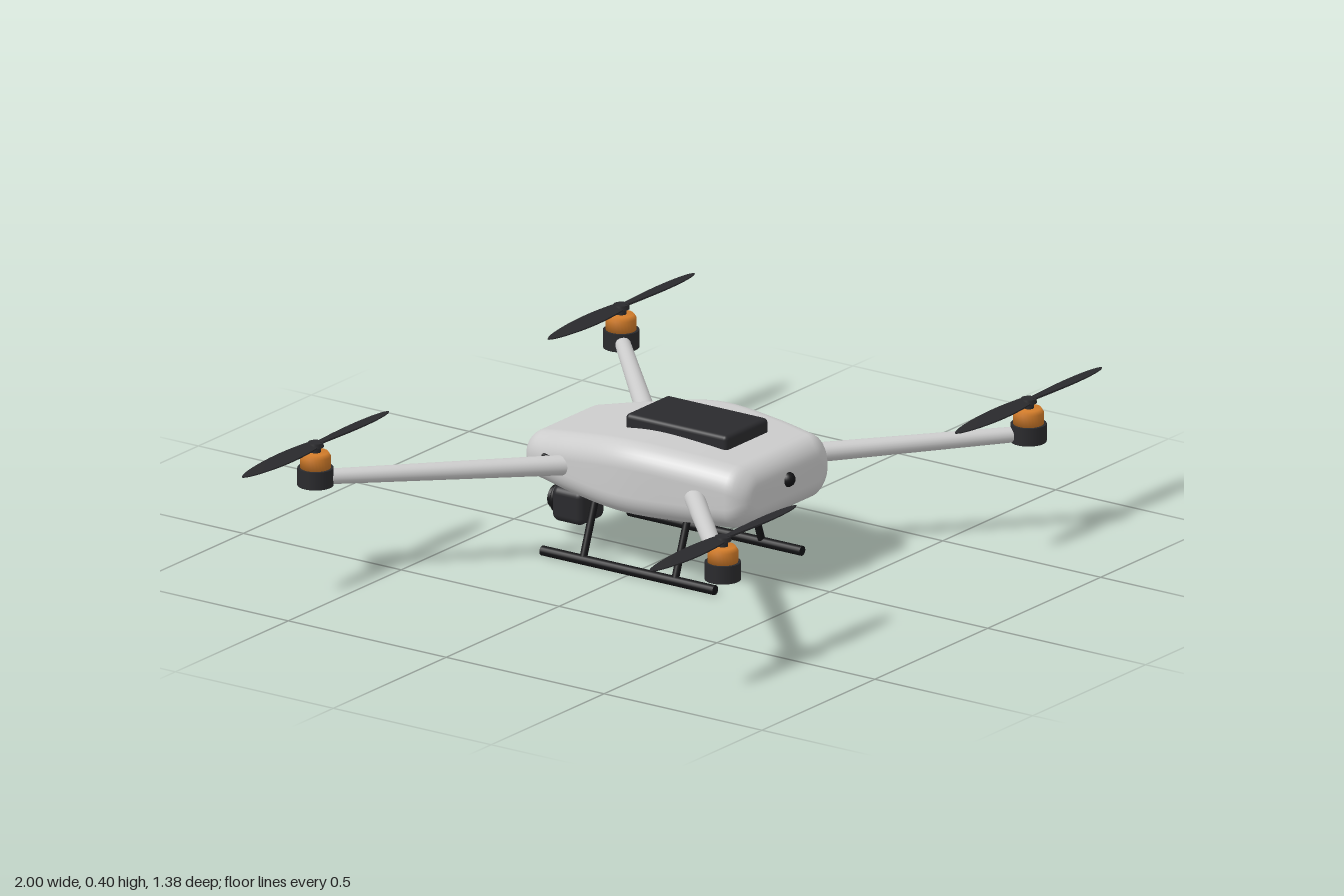
import * as THREE from 'three';
import { RoundedBoxGeometry } from 'three/addons/geometries/RoundedBoxGeometry.js';

const mat = (color) => new THREE.MeshStandardMaterial({ color });
const GREY = mat(0xcccccc), DARK = mat(0x2a2a2d), BLACK = mat(0x141416);
const ORANGE = mat(0xd27c2a), GLASS = mat(0x1c2440);

function add(parent, name, geometry, material, x = 0, y = 0, z = 0) {
  const mesh = new THREE.Mesh(geometry, material);
  mesh.name = name;
  mesh.position.set(x, y, z);
  parent.add(mesh);
  return mesh;
}

// Round bar between two points, radius r0 at a and r1 at b
function bar(parent, name, a, b, r0, r1, material, sides = 20) {
  const dir = b.clone().sub(a);
  const mesh = add(parent, name, new THREE.CylinderGeometry(r1, r0, dir.length(), sides), material);
  mesh.position.copy(a).addScaledVector(dir, 0.5);
  mesh.quaternion.setFromUnitVectors(new THREE.Vector3(0, 1, 0), dir.normalize());
  return mesh;
}

// Rounded-rectangle cross-sections lofted from nose to tail, with rounded ends
function bodyGeometry() {
  const L = 0.37, R = 0.052, PER = 10, RING = PER * 4;
  // half width, bottom and top at evenly spaced stations from front to back
  const rail = new THREE.CatmullRomCurve3([
    [0.205, 0.185, 0.345], [0.232, 0.176, 0.363], [0.245, 0.17, 0.368],
    [0.207, 0.173, 0.34], [0.16, 0.188, 0.303],
  ].map((p) => new THREE.Vector3(...p)), false, 'catmullrom');
  const zs = [];
  const END = 8, MID = 24;
  for (let i = 0; i < END; i++) zs.push(L - R * (1 - Math.cos((i / END) * Math.PI / 2)));
  for (let i = 0; i <= MID; i++) zs.push((L - R) * (1 - (2 * i) / MID));
  for (let i = END - 1; i >= 0; i--) zs.push(-zs[i]);

  const pos = [], idx = [];
  for (const z of zs) {
    const p = rail.getPoint((L - z) / (2 * L));
    const s = Math.max(0, R - (L - Math.abs(z)));
    const inset = R - Math.sqrt(Math.max(0, R * R - s * s));
    const hw = p.x - inset, hh = (p.z - p.y) / 2 - inset, cy = (p.y + p.z) / 2;
    const r = Math.min(0.062, hh * 0.9);
    for (let k = 0; k < RING; k++) {
      const q = Math.floor(k / PER);
      const a = (q + (k % PER) / (PER - 1)) * Math.PI / 2;
      const sx = q === 0 || q === 3 ? 1 : -1, sy = q < 2 ? 1 : -1;
      pos.push(sx * (hw - r) + r * Math.cos(a), cy + sy * (hh - r) + r * Math.sin(a), z);
    }
  }
  for (let i = 0; i < zs.length - 1; i++) {
    for (let k = 0; k < RING; k++) {
      const a = i * RING + k, b = i * RING + (k + 1) % RING;
      idx.push(a, a + RING, b, b, a + RING, b + RING);
    }
  }
  // end caps
  const last = (zs.length - 1) * RING, c = pos.length / 3;
  pos.push(0, 0.265, L, 0, 0.245, -L);
  for (let k = 0; k < RING; k++) {
    const n = (k + 1) % RING;
    idx.push(c, k, n, c + 1, last + n, last + k);
  }
  const g = new THREE.BufferGeometry();
  g.setAttribute('position', new THREE.Float32BufferAttribute(pos, 3));
  g.setIndex(idx);
  g.computeVertexNormals();
  return g;
}

// Thin blade along +x: chord swells then rounds off at the tip, pitch fades outward
function bladeGeometry() {
  const len = 0.323;
  const g = new THREE.BoxGeometry(len, 0.005, 1, 28, 1, 4).translate(len / 2, 0, 0);
  const p = g.attributes.position;
  for (let i = 0; i < p.count; i++) {
    const t = p.getX(i) / len;
    const chord = (0.026 + 0.022 * Math.sin(Math.PI * Math.min(1, t * 0.95 + 0.05)))
      * Math.sqrt(Math.max(0.02, 1 - Math.pow(t, 10)));
    const z = p.getZ(i) * chord, y = p.getY(i) * (1 - 0.5 * t);
    const a = 0.3 - 0.22 * t;
    p.setY(i, y * Math.cos(a) + z * Math.sin(a));
    p.setZ(i, z * Math.cos(a) - y * Math.sin(a));
  }
  g.computeVertexNormals();
  return g;
}

// Motor housing, bell, hub and two-bladed propeller
function rotor(blade) {
  const g = new THREE.Group();
  g.name = 'rotor';
  add(g, 'motorMount', new THREE.CylinderGeometry(0.047, 0.047, 0.048, 28), DARK, 0, 0.276, 0);
  const bell = [[0, 0.298], [0.04, 0.298], [0.04, 0.331], [0.033, 0.342], [0, 0.342]];
  add(g, 'motorBell', new THREE.LatheGeometry(bell.map((p) => new THREE.Vector2(...p)), 28), ORANGE);
  add(g, 'motorShaft', new THREE.CylinderGeometry(0.014, 0.014, 0.024, 16), DARK, 0, 0.352, 0);
  add(g, 'propellerHub', new THREE.CylinderGeometry(0.02, 0.022, 0.012, 20), DARK, 0, 0.362, 0);
  for (let i = 0; i < 2; i++) {
    add(g, 'propellerBlade', blade, DARK, 0, 0.362, 0).rotation.y = i * Math.PI;
  }
  return g;
}

// Hanging camera, looking toward -z
function gimbal() {
  const g = new THREE.Group();
  g.name = 'gimbalCamera';
  add(g, 'gimbalMount', new RoundedBoxGeometry(0.06, 0.05, 0.062, 3, 0.012), DARK, 0, 0.15, -0.256);
  add(g, 'cameraBody', new RoundedBoxGeometry(0.11, 0.095, 0.1, 4, 0.02), DARK, 0, 0.088, -0.297);
  const disc = (name, r, depth, z, m) => {
    add(g, name, new THREE.CylinderGeometry(r, r, depth, 28), m, 0, 0.088, z).rotation.x = Math.PI / 2;
  };
  disc('lensBarrel', 0.035, 0.024, -0.353, BLACK);
  add(g, 'lensRing', new THREE.TorusGeometry(0.034, 0.008, 10, 32), BLACK, 0, 0.088, -0.354);
  disc('lensHood', 0.03, 0.014, -0.367, BLACK);
  disc('lensGlass', 0.022, 0.004, -0.374, GLASS);
  return g;
}

export function createModel() {
  const model = new THREE.Group();
  model.name = 'quadcopter';
  add(model, 'body', bodyGeometry(), GREY);
  add(model, 'battery', new RoundedBoxGeometry(0.19, 0.06, 0.322, 3, 0.012), DARK, 0, 0.366, 0.079);
  add(model, 'frontLamp', new THREE.SphereGeometry(0.02, 20, 14), BLACK, 0, 0.28, 0.367);

  const blade = bladeGeometry();
  for (const sx of [1, -1]) {
    // arms and rotors
    for (const sz of [1, -1]) {
      const root = new THREE.Vector3(sx * 0.17, 0.258, sz * 0.185);
      const tip = new THREE.Vector3(sx * 0.677, 0.273, sz * 0.645);
      bar(model, 'arm', root, tip, 0.027, 0.02, GREY, 24);
      const r = rotor(blade);
      r.position.set(tip.x, 0, tip.z);
      model.add(r);
    }
    // landing gear
    for (const z of [0.147, -0.144]) {
      bar(model, 'landingStrut', new THREE.Vector3(sx * 0.13, 0.185, z),
        new THREE.Vector3(sx * 0.193, 0.014, z), 0.01, 0.01, BLACK, 14);
    }
    bar(model, 'landingSkid', new THREE.Vector3(sx * 0.193, 0.013, 0.275),
      new THREE.Vector3(sx * 0.193, 0.013, -0.273), 0.013, 0.013, BLACK, 16);
    // rear and side sensors
    add(model, 'rearSensor', new RoundedBoxGeometry(0.036, 0.024, 0.016, 2, 0.004), BLACK, sx * 0.055, 0.255, -0.368);
    add(model, 'sideSensor', new RoundedBoxGeometry(0.016, 0.02, 0.03, 2, 0.004), BLACK, sx * 0.185, 0.265, -0.262);
  }
  model.add(gimbal());
  return model;
}
